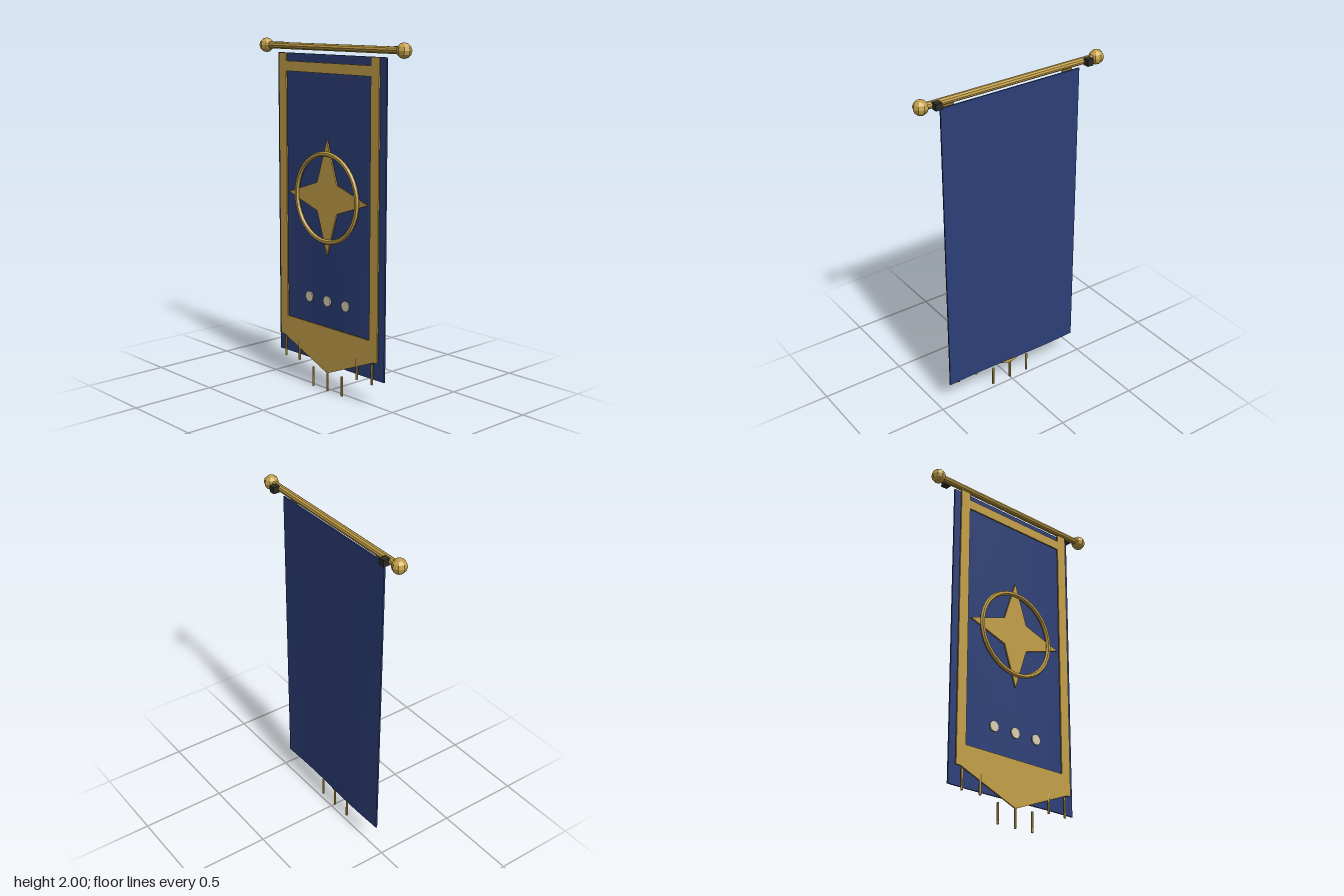
import * as THREE from 'three';

const mat = (name, color) => {
  const m = new THREE.MeshStandardMaterial({ color });
  m.name = name;
  return m;
};

export function createModel() {
  const model = new THREE.Group();
  model.name = 'hangingBanner';
  const gold = mat('gold', 0xc4a048);
  const blue = mat('blueCloth', 0x2c3f78);
  const cream = mat('cream', 0xdccfb2);
  const iron = mat('darkIron', 0x2b2b28);

  const add = (name, geo, material, x = 0, y = 0, z = 0) => {
    const mesh = new THREE.Mesh(geo, material);
    mesh.name = name;
    mesh.position.set(x, y, z);
    model.add(mesh);
    return mesh;
  };
  const flat = (geo) => {
    const g = geo.toNonIndexed();
    g.computeVertexNormals();
    return g;
  };
  // Thin plate cut from an outline
  const plate = (points, depth) => new THREE.ExtrudeGeometry(
    new THREE.Shape(points.map(([x, y]) => new THREE.Vector2(x, y))),
    { depth, bevelEnabled: false });

  // Crossbar, faceted end knobs and wall brackets
  const bar = add('crossbar', flat(new THREE.CylinderGeometry(0.02, 0.02, 1.1, 10)), gold, 0, 1.958, 0);
  bar.rotation.z = Math.PI / 2;
  for (const s of [-1, 1]) {
    add('endKnob', flat(new THREE.SphereGeometry(0.042, 8, 6)), gold, s * 0.557, 1.958, 0);
    add('wallBracket', new THREE.BoxGeometry(0.038, 0.038, 0.038), iron, s * 0.479, 1.958, -0.031);
  }

  // Cloth with a faint ripple that grows toward the hem
  const cloth = new THREE.BoxGeometry(0.884, 1.765, 0.009, 12, 10, 1);
  const p = cloth.attributes.position;
  for (let i = 0; i < p.count; i++) {
    const drop = 0.5 - p.getY(i) / 1.765;
    p.setZ(i, p.getZ(i) + 0.005 * drop * Math.sin(p.getX(i) * 7));
  }
  cloth.computeVertexNormals();
  add('cloth', cloth, blue, 0, 1.0375, 0.004);

  // Gold border
  const trimZ = 0.027;
  for (const s of [-1, 1]) {
    add('sideTrim', new THREE.BoxGeometry(0.063, 1.54, 0.008), gold, s * 0.3775, 1.15, trimZ);
  }
  add('topTrim', new THREE.BoxGeometry(0.692, 0.057, 0.008), gold, 0, 1.8465, trimZ);
  add('pointedHem', plate([[-0.409, 0.38], [-0.409, 0.26], [-0.38, 0.26], [0, 0.107],
    [0.38, 0.26], [0.409, 0.26], [0.409, 0.38]], 0.008), gold, 0, 0, 0.023);

  // Four-pointed star inside a ring
  const star = [];
  for (let i = 0; i < 8; i++) {
    const a = i * Math.PI / 4, r = i % 2 ? 0.115 : 0.325;
    star.push([r * Math.cos(a), r * Math.sin(a)]);
  }
  add('star', plate(star, 0.009), gold, 0, 1.127, 0.023);
  add('ring', flat(new THREE.TorusGeometry(0.249, 0.014, 6, 40)), gold, 0, 1.127, 0.036);

  // Row of studs
  for (const x of [-0.152, 0, 0.152]) {
    const stud = add('stud', new THREE.CylinderGeometry(0.031, 0.031, 0.008, 14), cream, x, 0.533, 0.029);
    stud.rotation.x = Math.PI / 2;
  }

  // Fringe tassels, low in the middle
  for (let i = -3; i <= 3; i++) {
    const y = Math.abs(i) < 2 ? 0.058 : 0.188;
    add('tassel', flat(new THREE.CylinderGeometry(0.007, 0.007, 0.116, 6)), gold, i * 0.122, y, 0.027);
  }
  return model;
}
